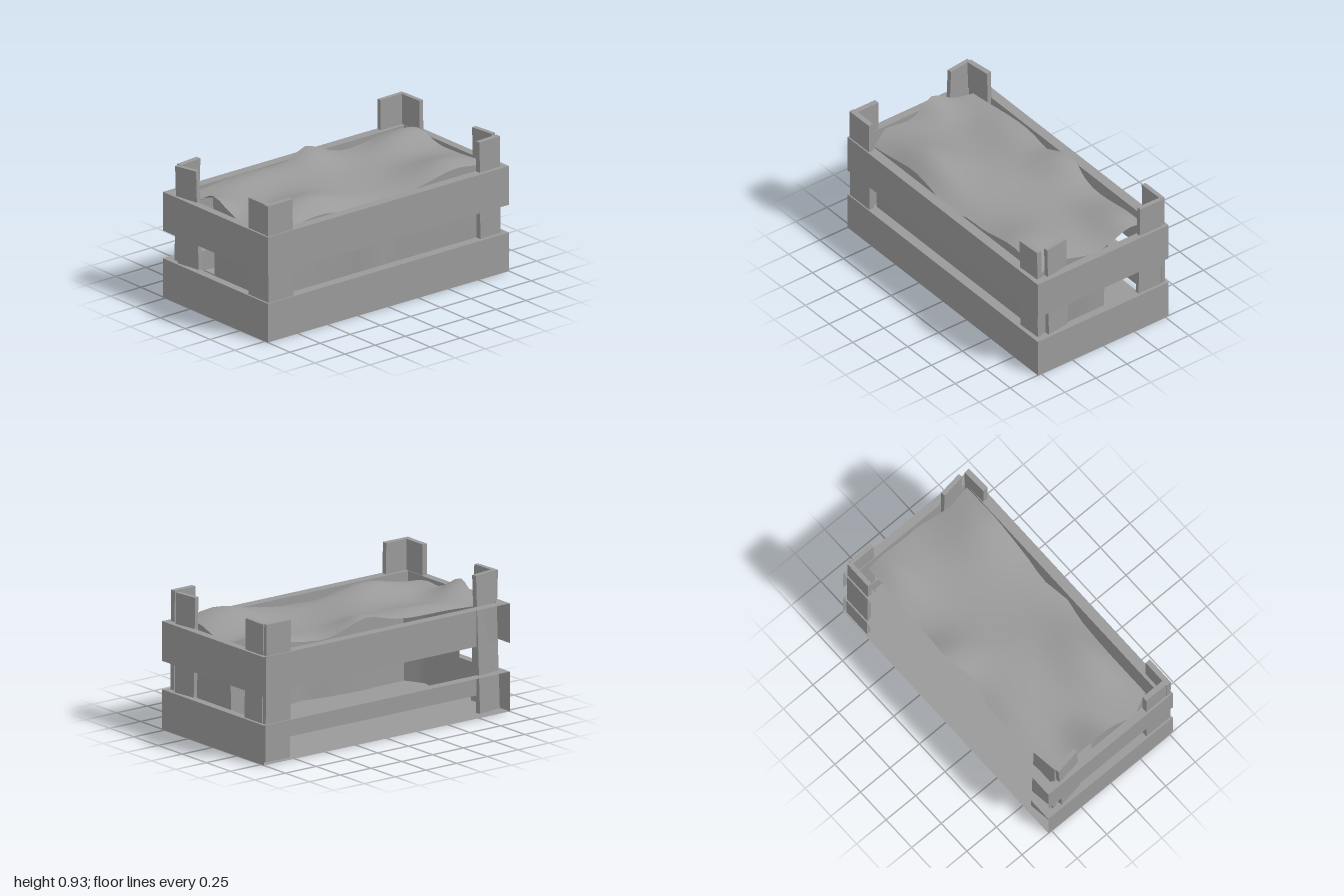
import * as THREE from 'three';

const mat = new THREE.MeshStandardMaterial({ color: 0x9a9a9a, side: THREE.DoubleSide });
const W = 1, D = 0.527, IW = 0.945, ID = 0.46; // outer and inner half sizes

function add(parent, geo, name) {
  const m = new THREE.Mesh(geo, mat);
  m.name = name;
  parent.add(m);
  return m;
}

function rect(path, w, d) {
  path.moveTo(-w, -d);
  path.lineTo(w, -d);
  path.lineTo(w, d);
  path.lineTo(-w, d);
  path.closePath();
  return path;
}

// Slat frame: outer walls on three sides, inner walls on four, rim on top
function slatFrame(name, y0, y1, innerY0) {
  const g = new THREE.Group();
  g.name = name;
  const wall = (len, x, z, ry, bottom, n) => {
    const m = add(g, new THREE.PlaneGeometry(len, y1 - bottom), n);
    m.position.set(x, (y1 + bottom) / 2, z);
    m.rotation.y = ry;
  };
  const q = Math.PI / 2;
  wall(2 * W, 0, D, 0, y0, 'frontPanel');
  wall(2 * IW, 0, ID, Math.PI, innerY0, 'frontInner');
  wall(2 * IW, 0, -ID, Math.PI, innerY0, 'backPanel');
  for (const s of [-1, 1]) {
    wall(2 * D, s * W, 0, s * q, y0, 'sidePanel');
    wall(2 * ID, s * IW, 0, -s * q, innerY0, 'sideInner');
  }
  const ring = rect(new THREE.Shape(), W, D);
  ring.holes.push(rect(new THREE.Path(), IW, ID));
  const rim = add(g, new THREE.ShapeGeometry(ring), 'rim');
  rim.rotation.x = -q;
  rim.position.y = y1;
  return g;
}

// Linear lookup through [position, value] pairs
function lookup(pts, t) {
  if (t <= pts[0][0]) return pts[0][1];
  for (let i = 1; i < pts.length; i++) {
    if (t <= pts[i][0]) {
      const [a, p] = pts[i - 1], [b, q] = pts[i];
      return p + ((q - p) * (t - a)) / (b - a);
    }
  }
  return pts[pts.length - 1][1];
}

// Sack outline edges
const backZ = [[-0.87, -0.41], [-0.4, -0.435], [-0.25, -0.42], [-0.08, -0.38], [0.12, -0.43], [0.3, -0.4], [0.91, -0.39]];
const frontZ = [[-0.87, 0.41], [-0.5, 0.4], [-0.28, 0.415], [-0.08, 0.45], [0.12, 0.415], [0.3, 0.435], [0.91, 0.45]];
const leftX = [[-0.41, -0.9], [-0.1, -0.935], [0.07, -0.91], [0.25, -0.95], [0.41, -0.87]];
const rightX = [[-0.39, 0.91], [0.05, 0.93], [0.28, 0.885], [0.45, 0.92]];

// Humps: x, z, height, x spread, z spread
const humps = [
  [-0.95, -0.1, 0.105, 0.16, 0.13], [-0.4, -0.32, 0.06, 0.4, 0.16],
  [0.1, -0.4, 0.095, 0.17, 0.2], [0.8, -0.28, 0.085, 0.25, 0.15],
  [0.65, 0.33, 0.095, 0.27, 0.23], [-0.45, 0.25, 0.085, 0.28, 0.18],
  [-0.15, -0.05, 0.03, 0.25, 0.2],
];
function sackHeight(x, z) {
  let y = 0.695;
  for (const [cx, cz, h, sx, sz] of humps) {
    y += h * Math.exp(-(((x - cx) / sx) ** 2) - ((z - cz) / sz) ** 2);
  }
  const drop = 0.04 * THREE.MathUtils.smoothstep(-x, -0.4, 0.3);
  return y - drop * THREE.MathUtils.smoothstep(z, 0.3, 0.45);
}

function sackPoint(u, v) {
  const x0 = -0.91 + 1.83 * u;
  const z = THREE.MathUtils.lerp(lookup(backZ, x0), lookup(frontZ, x0), v);
  const x = THREE.MathUtils.lerp(lookup(leftX, z), lookup(rightX, z), u);
  return [x, sackHeight(x, z), z];
}

// Sheet from a unit grid moved by a rule; v runs from top row to bottom row
function sheet(nu, nv, rule) {
  const geo = new THREE.PlaneGeometry(1, 1, nu, nv);
  const p = geo.attributes.position;
  for (let i = 0; i < p.count; i++) p.setXYZ(i, ...rule(p.getX(i) + 0.5, 0.5 - p.getY(i)));
  geo.computeVertexNormals();
  return geo;
}

function buildSack() {
  const g = new THREE.Group();
  g.name = 'sack';
  add(g, sheet(20, 16, sackPoint), 'sackTop');
  // Front skirt hangs to the floor
  add(g, sheet(20, 4, (u, v) => {
    const [x, y, z] = sackPoint(u, 1);
    return [x, THREE.MathUtils.lerp(y, 0.02, v), z - 0.02 * v];
  }), 'frontSkirt');
  // Side skirts cover the front part of each side only
  for (const s of [-1, 1]) {
    add(g, sheet(10, 4, (u, v) => {
      const along = THREE.MathUtils.lerp(0.375, 1, s > 0 ? 1 - u : u);
      const [x, y, z] = sackPoint(s > 0 ? 1 : 0, along);
      return [x - s * 0.02 * v, THREE.MathUtils.lerp(y, 0.02, v), z];
    }), s > 0 ? 'leftSkirt' : 'rightSkirt');
  }
  return g;
}

export function createModel() {
  const model = new THREE.Group();
  model.name = 'crate';

  model.add(slatFrame('lowerFrame', 0, 0.265, 0.13));
  model.add(slatFrame('upperFrame', 0.455, 0.72, 0.455));
  const floor = add(model, new THREE.PlaneGeometry(2 * W, 2 * D), 'floor');
  floor.rotation.x = -Math.PI / 2;

  // Corner posts: two boards each (x, z, width, depth, tilt about x, yaw, tilt about z)
  const posts = {
    frontRightPost: [[-0.885, 0.5, 0.205, 0.036, 0, 0, 0.01], [-0.968, 0.41, 0.036, 0.19, 0, 0, 0]],
    frontLeftPost: [[0.868, 0.48, 0.175, 0.036, 0, 0.04, 0.01], [0.95, 0.34, 0.03, 0.17, 0, 0.13, 0.02]],
    backRightPost: [[-0.87, -0.445, 0.18, 0.035, 0.035, 0.13, -0.01], [-0.955, -0.32, 0.03, 0.18, -0.04, 0.15, 0]],
    backLeftPost: [[0.875, -0.502, 0.2, 0.03, 0, 0, 0.01], [0.965, -0.395, 0.03, 0.18, -0.02, 0, 0]],
  };
  for (const [name, boards] of Object.entries(posts)) {
    const g = new THREE.Group();
    g.name = name;
    for (const [x, z, w, d, rx, ry, rz] of boards) {
      const b = add(g, new THREE.BoxGeometry(w, 0.915, d), 'board');
      b.position.set(x, 0.47, z);
      b.rotation.set(rx, ry, rz);
    }
    model.add(g);
  }

  model.add(buildSack());
  return model;
}
